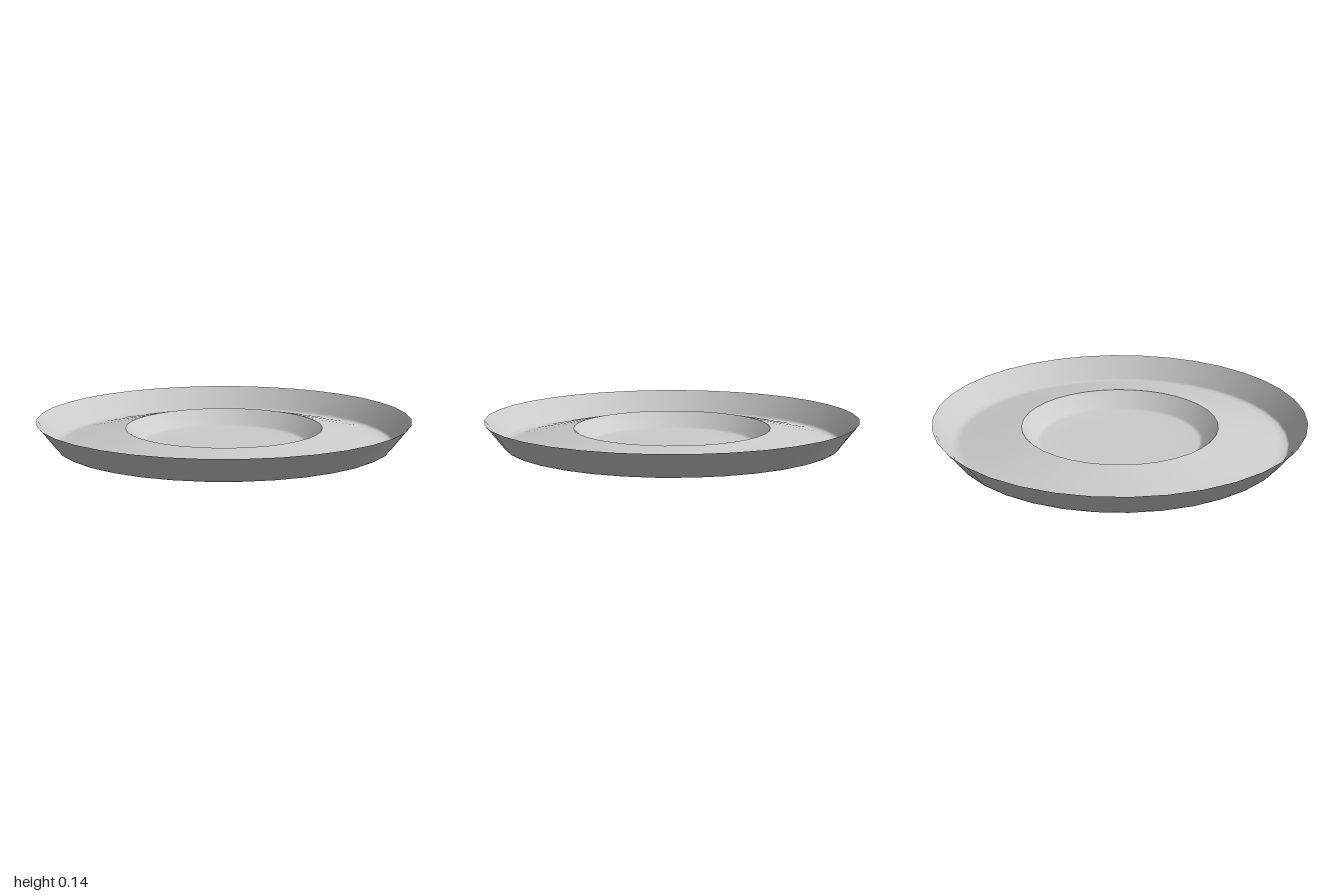
import * as THREE from 'three';

export function createModel() {
  const group = new THREE.Group();
  group.name = 'saucer';
  const glaze = new THREE.MeshStandardMaterial({ color: 0xcccccc, side: THREE.DoubleSide });
  glaze.name = 'grey glaze';

  // Thin shell turned from a profile of [radius, height], from the inside out
  const turn = (name, profile) => {
    const points = profile.map(([r, y]) => new THREE.Vector2(r, y));
    const mesh = new THREE.Mesh(new THREE.LatheGeometry(points, 36), glaze);
    mesh.name = name;
    group.add(mesh);
  };

  // Sunken centre with a softly curved wall
  turn('well', [[0, 0], [0.3, 0], [0.43, 0.001], [0.45, 0.01], [0.53, 0.09]]);

  // Sloping ring that bends up into the flared rim
  turn('ringAndRim', [
    [0.53, 0.09], [0.78, 0.037], [0.86, 0.02], [0.9, 0.014], [0.91, 0.027], [1, 0.145],
  ]);

  return group;
}
